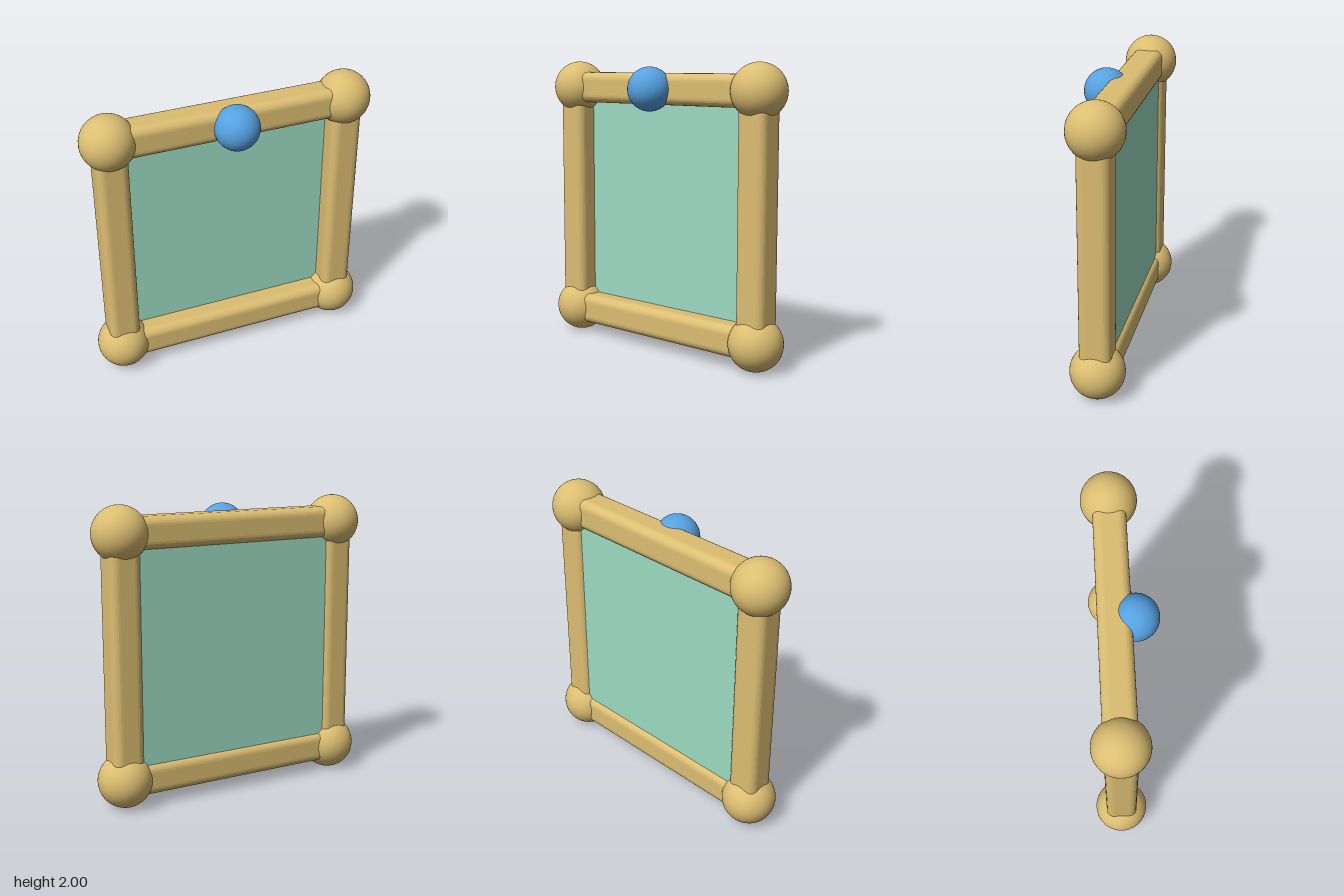
import * as THREE from 'three';

export function createModel() {
  const model = new THREE.Group();
  const wood = new THREE.MeshStandardMaterial({ name: 'wood', color: 0xdcbe72 });
  const glass = new THREE.MeshStandardMaterial({ name: 'paleGreen', color: 0x9cdac2 });
  const blue = new THREE.MeshStandardMaterial({ name: 'blue', color: 0x56a2e2 });

  const add = (name, geometry, material, x, y, z) => {
    const mesh = new THREE.Mesh(geometry, material);
    mesh.name = name;
    mesh.position.set(x, y, z);
    model.add(mesh);
    return mesh;
  };

  const half = 0.816; // frame centre to beam axis
  const midY = 1.002;
  const frameZ = -0.05;

  // Beam: square section with faceted, rounded corners, running along z
  const h = 0.107, r = 0.055, length = half * 2;
  const section = new THREE.Shape();
  [[1, 1], [-1, 1], [-1, -1], [1, -1]].forEach(([sx, sy], i) => {
    const start = i * Math.PI / 2;
    section.absarc(sx * (h - r), sy * (h - r), r, start, start + Math.PI / 2, false);
  });
  section.closePath();
  const beam = new THREE.ExtrudeGeometry(section, { depth: length, bevelEnabled: false, curveSegments: 3 });
  beam.translate(0, 0, -length / 2);

  const ball = new THREE.SphereGeometry(0.183, 40, 28);
  for (const s of [-1, 1]) {
    // Side posts and horizontal rails
    add(s > 0 ? 'leftPost' : 'rightPost', beam, wood, s * half, midY, frameZ).rotation.x = Math.PI / 2;
    add(s > 0 ? 'topRail' : 'bottomRail', beam, wood, 0, midY + s * half, frameZ).rotation.y = Math.PI / 2;
    // Corner balls
    for (const t of [-1, 1]) add('cornerBall', ball, wood, s * half, midY + t * half, frameZ);
  }

  // Panel set slightly behind the middle of the frame
  add('panel', new THREE.BoxGeometry(1.5, 1.5, 0.045), glass, 0, midY, frameZ - 0.055);

  // Round knob on the top rail
  add('knob', new THREE.SphereGeometry(0.15, 40, 28), blue, 0, midY + half, 0.081);

  return model;
}
